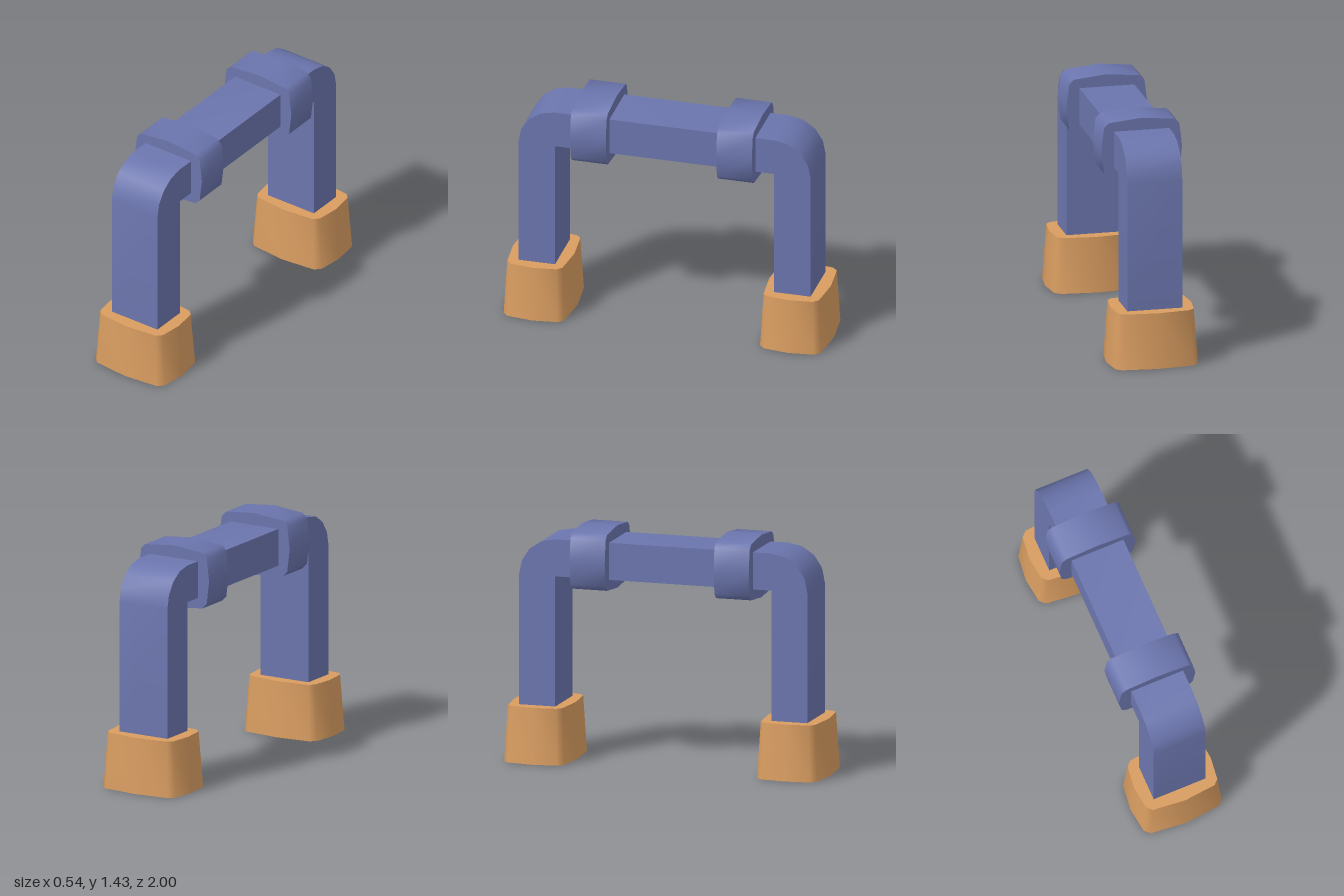
import * as THREE from 'three';
import { toCreasedNormals } from 'three/addons/utils/BufferGeometryUtils.js';

const CREASE = 0.8;
const DEPTH = 0.22; // thickness of the pipe and of the collars

// Bulged rectangle with cut corners, shared by the collars and feet
function bulgedShape() {
  const quarter = [[0.247, 0], [0.23, 0.14], [0.2, 0.17], [0, 0.19]];
  const points = [];
  for (let q = 0; q < 4; q++) {
    const sx = q === 0 || q === 3 ? 1 : -1;
    const sy = q < 2 ? 1 : -1;
    const run = q % 2 ? [...quarter].reverse() : quarter;
    // Drop the last point of each quarter, as the next one starts there
    run.slice(0, 3).forEach(([x, y]) => points.push(new THREE.Vector2(x * sx, y * sy)));
  }
  return new THREE.Shape(points);
}

// Side outline of the arch, with z across and y up
function archShape() {
  const inner = 0.675, innerY = 1.13, r = 0.225, base = 0.32;
  const outline = [[inner, base], [inner + r, base]];
  for (let i = 0; i <= 4; i++) {
    const a = (i / 4) * Math.PI / 2;
    outline.push([inner + r * Math.cos(a), innerY + r * Math.sin(a)]);
  }
  const mirrored = [...outline].reverse().map(([z, y]) => [-z, y]);
  const points = [...outline, ...mirrored, [-inner, innerY], [inner, innerY]];
  return new THREE.Shape(points.map(([z, y]) => new THREE.Vector2(z, y)));
}

function extrude(shape, depth) {
  return new THREE.ExtrudeGeometry(shape, { depth, bevelEnabled: false });
}

export function createModel() {
  const model = new THREE.Group();
  const blue = new THREE.MeshStandardMaterial({ color: 0x6b75ad });
  blue.name = 'slate blue';
  const tan = new THREE.MeshStandardMaterial({ color: 0xd89c60 });
  tan.name = 'tan';

  const add = (name, geometry, material, y, z) => {
    const mesh = new THREE.Mesh(toCreasedNormals(geometry, CREASE), material);
    mesh.name = name;
    mesh.position.set(0, y, z);
    model.add(mesh);
  };

  // Bent arch: two legs and a top beam
  const arch = extrude(archShape(), 0.336);
  arch.translate(0, 0, -0.168).rotateY(-Math.PI / 2);
  add('arch', arch, blue, 0, 0);

  // Collar around the beam
  const collar = extrude(bulgedShape(), DEPTH).translate(0, 0, -DEPTH / 2);

  // Foot, flaring towards the ground
  const footHeight = 0.34;
  const foot = extrude(bulgedShape(), footHeight).rotateX(-Math.PI / 2);
  const p = foot.attributes.position;
  for (let i = 0; i < p.count; i++) {
    const flare = 1.1 - 0.1 * (p.getY(i) / footHeight);
    p.setX(i, p.getX(i) * flare);
    p.setZ(i, p.getZ(i) * flare);
  }

  for (const [side, s] of [['front', 1], ['back', -1]]) {
    add(side + 'Collar', collar, blue, 1.24, s * 0.45);
    add(side + 'Foot', foot, tan, 0, s * 0.79);
  }
  return model;
}
